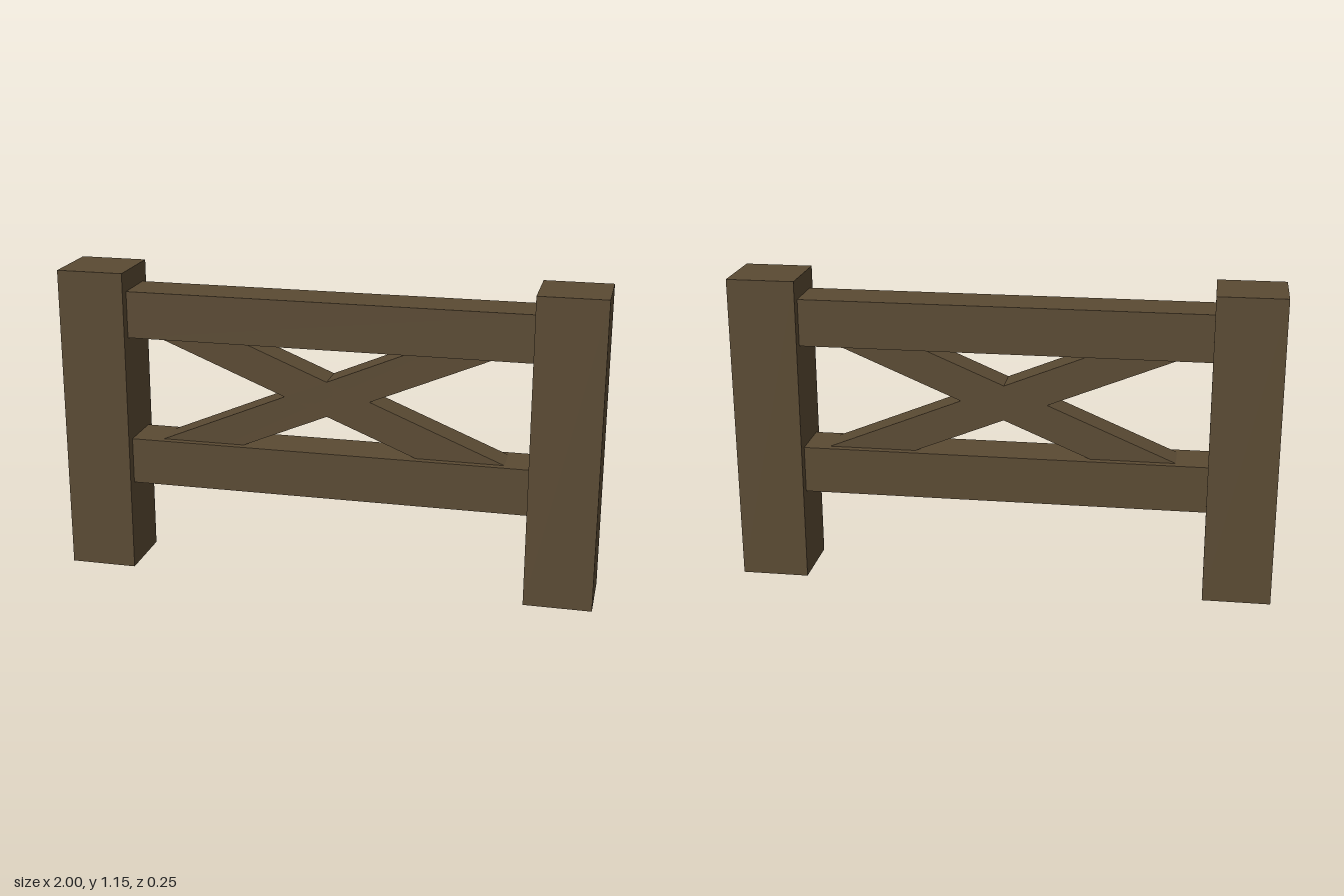
import * as THREE from 'three';

export function createModel() {
  const group = new THREE.Group();
  const wood = new THREE.MeshStandardMaterial({ color: 0x5a4a33 });
  wood.name = 'darkWood';

  const beam = (name, size, position, tilt = 0) => {
    const mesh = new THREE.Mesh(new THREE.BoxGeometry(...size), wood);
    mesh.name = name;
    mesh.position.set(...position);
    mesh.rotation.z = tilt;
    group.add(mesh);
  };

  // Square end posts
  beam('leftPost', [0.25, 1.155, 0.25], [0.875, 0.5775, 0]);
  beam('rightPost', [0.25, 1.155, 0.25], [-0.875, 0.5775, 0]);

  // Horizontal rails, butted against the posts
  beam('lowerRail', [1.5, 0.175, 0.175], [0, 0.4225, 0]);
  beam('upperRail', [1.5, 0.175, 0.175], [0, 0.9925, 0]);

  // Crossed braces, their ends sunk into the rails
  beam('fallingBrace', [1.4, 0.122, 0.12], [0.007, 0.708, 0], -0.386);
  beam('risingBrace', [1.4, 0.122, 0.12], [-0.008, 0.708, 0], 0.4);

  return group;
}
